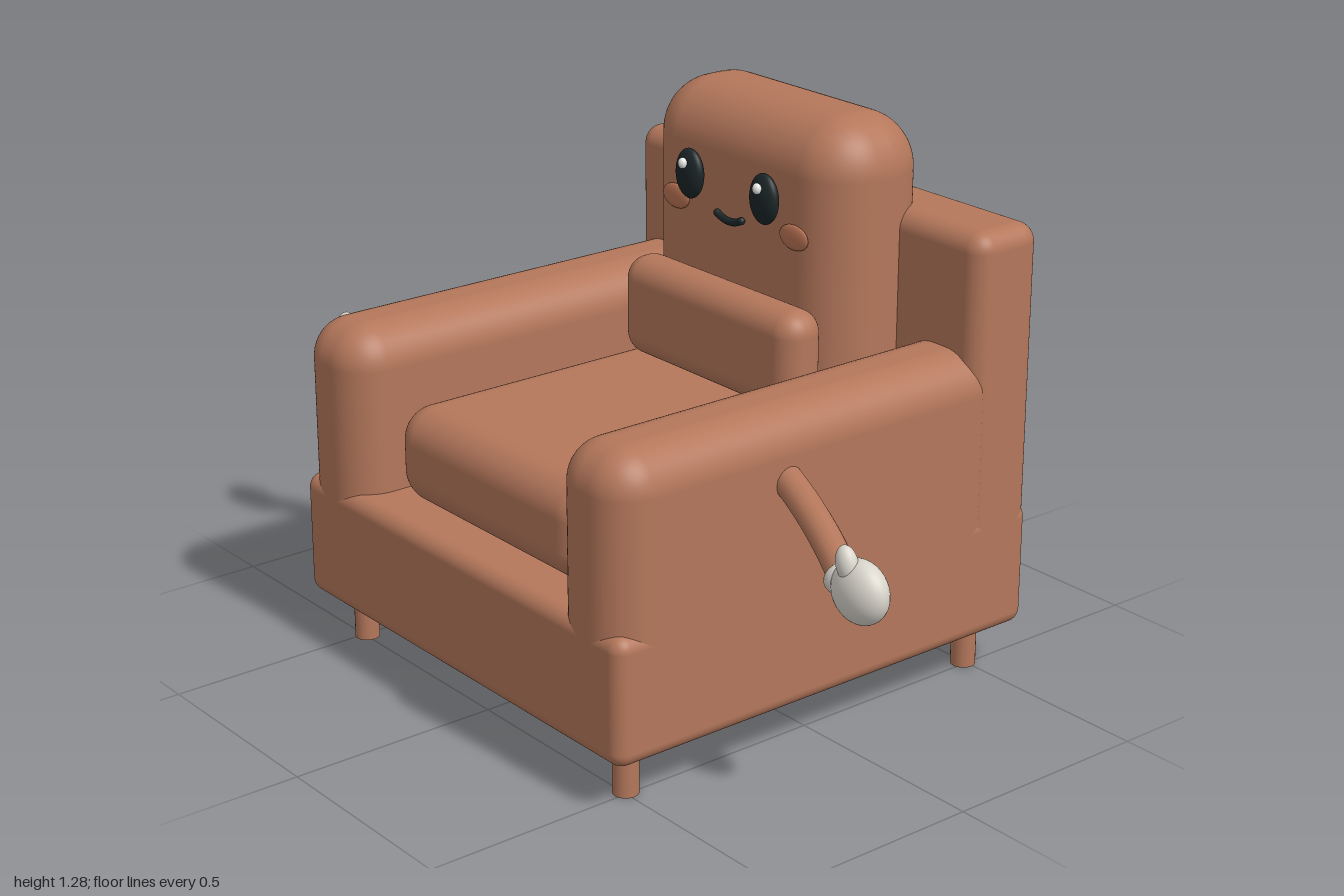
import * as THREE from 'three';
import { RoundedBoxGeometry } from 'three/addons/geometries/RoundedBoxGeometry.js';

function material(name, color) {
  const m = new THREE.MeshStandardMaterial({ color });
  m.name = name;
  return m;
}

export function createModel() {
  const leather = material('leather', 0xb4775b);
  const blush = material('blush', 0xb97354);
  const glove = material('glove', 0xd9d5cc);
  const black = material('black', 0x1b2527);
  const white = material('white', 0xf4f4f0);

  const model = new THREE.Group();
  model.name = 'armchair';

  function add(name, geometry, mat, x = 0, y = 0, z = 0) {
    const mesh = new THREE.Mesh(geometry, mat);
    mesh.name = name;
    mesh.position.set(x, y, z);
    model.add(mesh);
    return mesh;
  }
  // Rounded block given by its lower and upper corners
  function block(name, [x0, y0, z0], [x1, y1, z1], radius) {
    const geometry = new RoundedBoxGeometry(x1 - x0, y1 - y0, z1 - z0, 8, radius);
    return add(name, geometry, leather, (x0 + x1) / 2, (y0 + y1) / 2, (z0 + z1) / 2);
  }
  function ellipsoid(name, [rx, ry, rz], mat, x, y, z) {
    return add(name, new THREE.SphereGeometry(1, 32, 20).scale(rx, ry, rz), mat, x, y, z);
  }

  // Upholstered body
  block('base', [-0.59, 0.112, -0.59], [0.59, 0.41, 0.59], 0.035);
  block('backrest', [-0.59, 0.112, -0.59], [0.59, 1.07, -0.4], 0.045);
  block('seatCushion', [-0.347, 0.4, -0.42], [0.347, 0.63, 0.505], 0.08);
  block('backCushion', [-0.34, 0.56, -0.51], [0.34, 1.28, -0.21], 0.13);
  block('lumbarPillow', [-0.302, 0.628, -0.23], [0.302, 0.868, -0.112], 0.055);

  // Face on the back cushion
  const smile = new THREE.QuadraticBezierCurve3(
    new THREE.Vector3(-0.042, 1.016, -0.194),
    new THREE.Vector3(0, 0.994, -0.194),
    new THREE.Vector3(0.042, 1.016, -0.194));
  add('mouth', new THREE.TubeGeometry(smile, 16, 0.009, 10), black);
  for (const end of [-1, 1]) ellipsoid('mouthEnd', [0.009, 0.009, 0.009], black, end * 0.042, 1.016, -0.194);

  for (const s of [-1, 1]) {
    const side = s > 0 ? 'left' : 'right';

    block(side + 'Armrest', [s * 0.475 - 0.115, 0.2, -0.5], [s * 0.475 + 0.115, 0.797, 0.59], 0.095);

    for (const z of [-0.495, 0.495]) {
      add(side + (z > 0 ? 'FrontLeg' : 'BackLeg'),
        new THREE.CylinderGeometry(0.029, 0.029, 0.13, 24), leather, s * 0.492, 0.065, z);
    }

    ellipsoid(side + 'Eye', [0.044, 0.059, 0.022], black, s * 0.129, 1.09, -0.185);
    ellipsoid(side + 'EyeGlint', [0.011, 0.013, 0.01], white, s * 0.129 + 0.006, 1.12, -0.158);
    ellipsoid(side + 'Cheek', [0.047, 0.029, 0.009], blush, s * 0.205, 1.015, -0.207);

    // Curved arm ending in a gloved hand
    const reach = new THREE.QuadraticBezierCurve3(
      new THREE.Vector3(s * 0.55, 0.655, 0.125),
      new THREE.Vector3(s * 0.72, 0.615, 0.165),
      new THREE.Vector3(s * 0.88, 0.55, 0.235));
    add(side + 'Arm', new THREE.TubeGeometry(reach, 24, 0.034, 16), leather);

    const cuff = add(side + 'Cuff', new THREE.TorusGeometry(0.029, 0.014, 12, 24), glove, s * 0.868, 0.554, 0.231);
    cuff.quaternion.setFromUnitVectors(new THREE.Vector3(0, 0, 1), reach.getTangent(1));

    ellipsoid(side + 'Hand', [0.073, 0.069, 0.046], glove, s * 0.927, 0.547, 0.241);
    const thumb = ellipsoid(side + 'Thumb', [0.025, 0.04, 0.022], glove, s * 0.907, 0.605, 0.26);
    thumb.rotation.z = s * 0.3;
  }

  return model;
}
